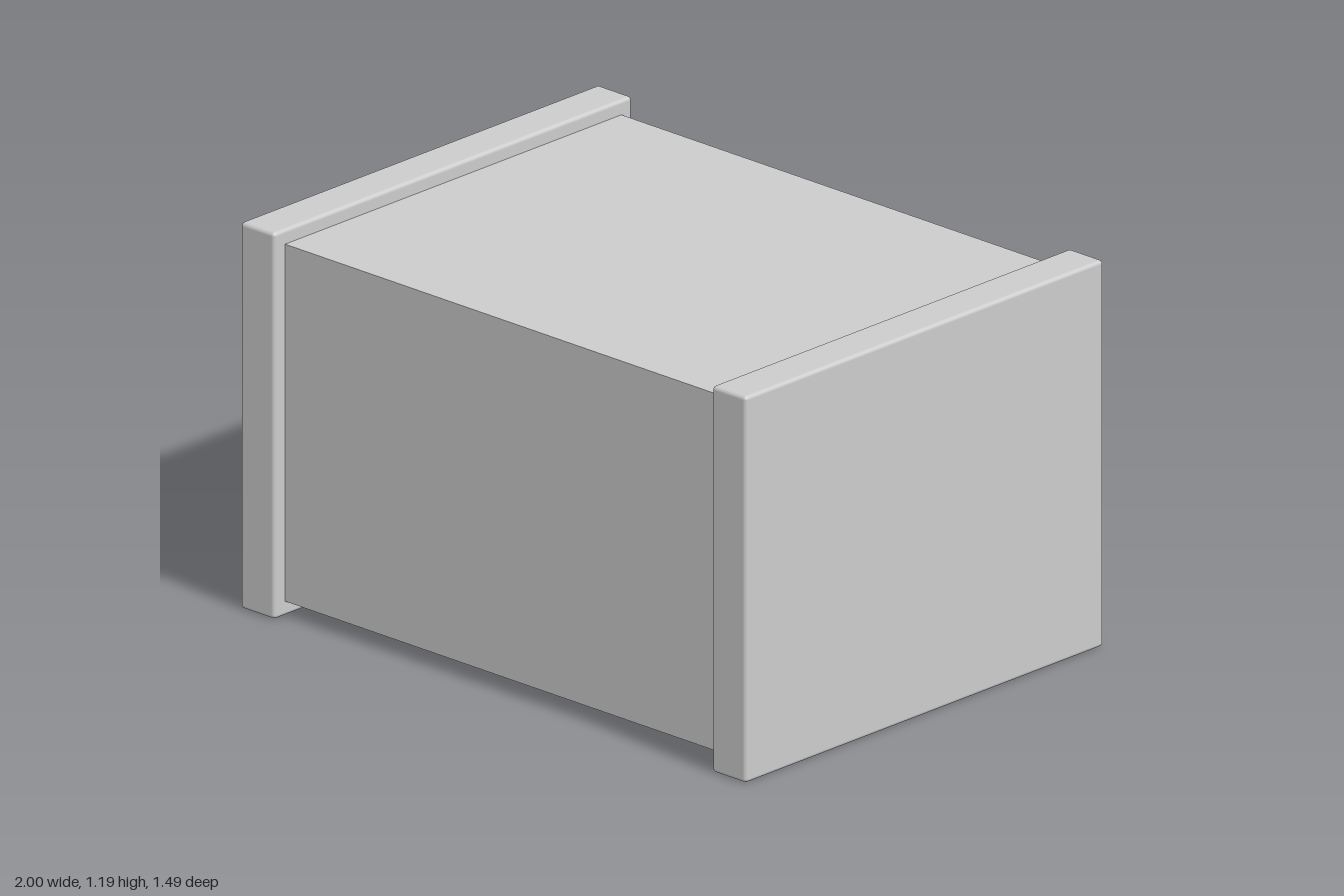
import * as THREE from 'three';
import { RoundedBoxGeometry } from 'three/addons/geometries/RoundedBoxGeometry.js';

export function createModel() {
  const group = new THREE.Group();
  const material = new THREE.MeshStandardMaterial({ color: 0xcccccc });
  const height = 1.19, depth = 1.49, capWidth = 0.135, inset = 0.045;

  // Sharp-edged central block, reaching slightly into both caps
  const body = new THREE.Mesh(
    new THREE.BoxGeometry(1.76, height - 2 * inset, depth - 2 * inset), material);
  body.name = 'body';
  body.position.y = height / 2;
  group.add(body);

  // Slightly larger end caps with softened edges
  const capGeometry = new RoundedBoxGeometry(capWidth, height, depth, 3, 0.012);
  for (const side of [-1, 1]) {
    const cap = new THREE.Mesh(capGeometry, material);
    cap.name = side > 0 ? 'leftEndCap' : 'rightEndCap';
    cap.position.set(side * (1 - capWidth / 2), height / 2, 0);
    group.add(cap);
  }
  return group;
}
